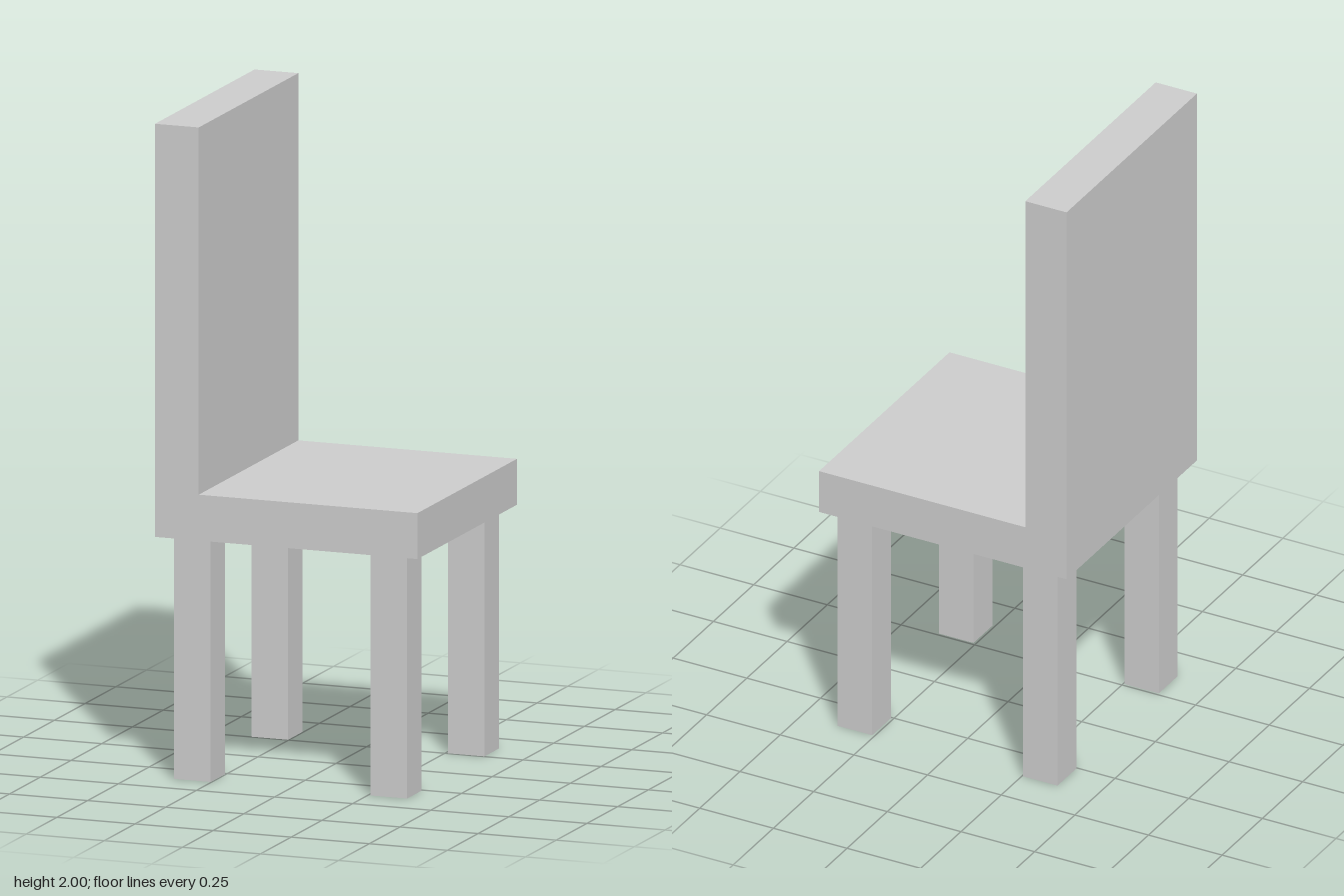
import * as THREE from 'three';

export function createModel() {
  const model = new THREE.Group();
  model.name = 'chair';
  const material = new THREE.MeshStandardMaterial({ color: 0xcccccc, flatShading: true });

  // Seat and backrest: one L-shaped slab, extruded across the width
  const width = 0.81;
  const profile = new THREE.Shape([
    [-0.42, 0.74], [0.42, 0.74], [0.42, 0.88],
    [-0.28, 0.88], [-0.28, 2], [-0.42, 2],
  ].map(([x, y]) => new THREE.Vector2(x, y)));
  const slab = new THREE.ExtrudeGeometry(profile, { depth: width, bevelEnabled: false });
  slab.translate(0, 0, -width / 2);
  const seat = new THREE.Mesh(slab, material);
  seat.name = 'seatAndBackrest';
  model.add(seat);

  // Four square legs under the seat
  const legHeight = 0.74;
  const legGeometry = new THREE.BoxGeometry(0.117, legHeight, 0.117);
  for (const [xName, x] of [['backrestSide', -0.312], ['openSide', 0.317]]) {
    for (const [zName, z] of [['Rear', -0.312], ['Front', 0.317]]) {
      const leg = new THREE.Mesh(legGeometry, material);
      leg.name = `${xName}${zName}Leg`;
      leg.position.set(x, legHeight / 2, z);
      model.add(leg);
    }
  }
  return model;
}
